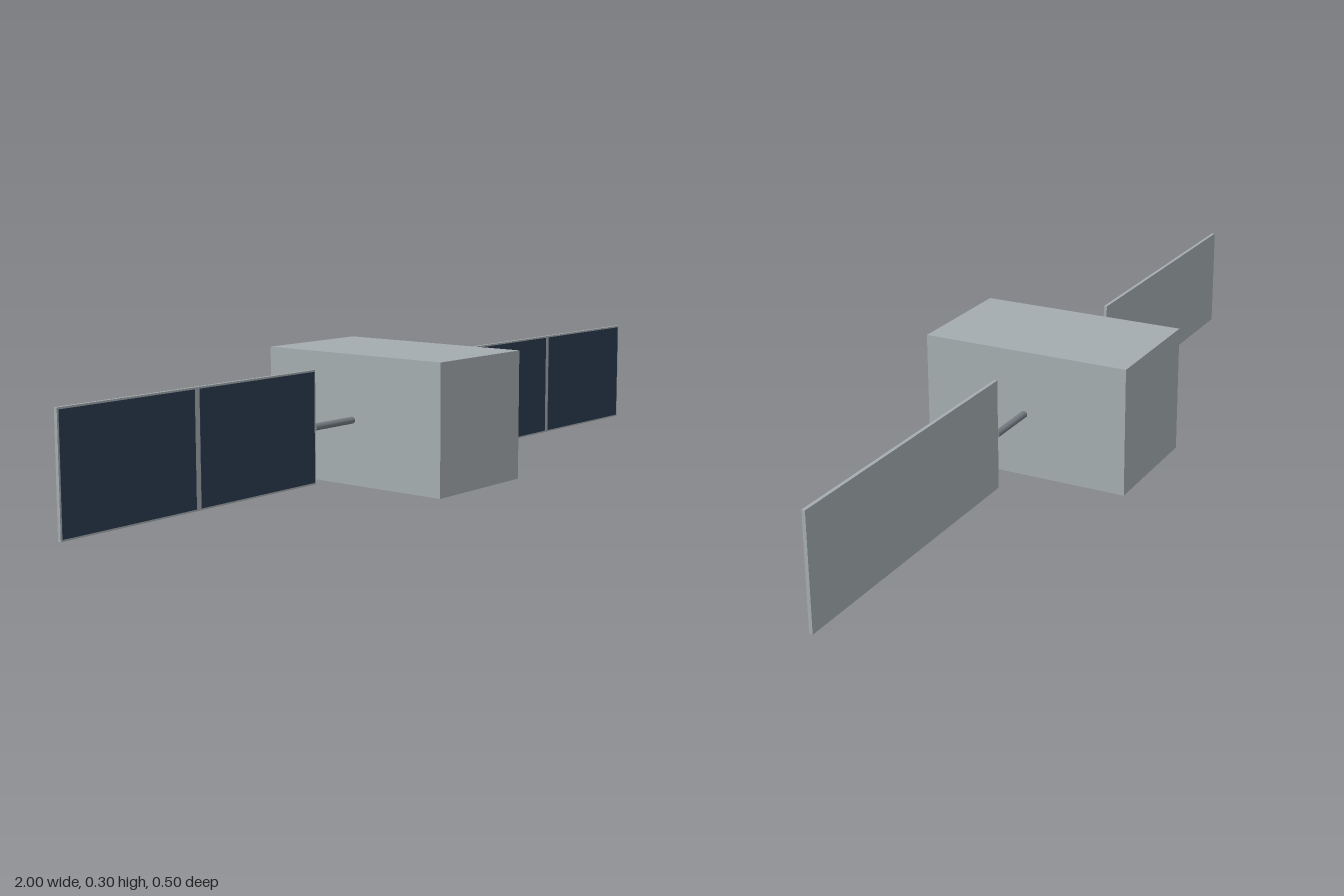
import * as THREE from 'three';

export function createModel() {
  const material = (name, color) => {
    const m = new THREE.MeshStandardMaterial({ color });
    m.name = name;
    return m;
  };
  const bodyGrey = material('bodyGrey', 0xa4acaf);
  const rodGrey = material('rodGrey', 0x747c82);
  const cellNavy = material('cellNavy', 0x2c3b50);

  const model = new THREE.Group();
  model.name = 'satellite';
  const add = (parent, name, geometry, mat, x, y, z) => {
    const mesh = new THREE.Mesh(geometry, mat);
    mesh.name = name;
    mesh.position.set(x, y, z);
    parent.add(mesh);
    return mesh;
  };

  // Central body
  add(model, 'body', new THREE.BoxGeometry(0.3, 0.3, 0.5), bodyGrey, 0, 0.15, 0);

  // A boom and a two-cell solar panel on each side
  for (const side of [1, -1]) {
    const wing = new THREE.Group();
    wing.name = side > 0 ? 'leftWing' : 'rightWing';
    model.add(wing);

    const boom = new THREE.CylinderGeometry(0.008, 0.008, 0.14, 16).rotateZ(Math.PI / 2);
    add(wing, 'boom', boom, rodGrey, side * 0.21, 0.15, 0);
    add(wing, 'panelFrame', new THREE.BoxGeometry(0.72, 0.255, 0.008), bodyGrey, side * 0.64, 0.15, 0);

    // Dark cells on the front face only
    for (const offset of [-0.1815, 0.1815]) {
      add(wing, 'solarCell', new THREE.BoxGeometry(0.349, 0.247, 0.002), cellNavy,
        side * 0.64 + offset, 0.15, 0.004);
    }
  }
  return model;
}
